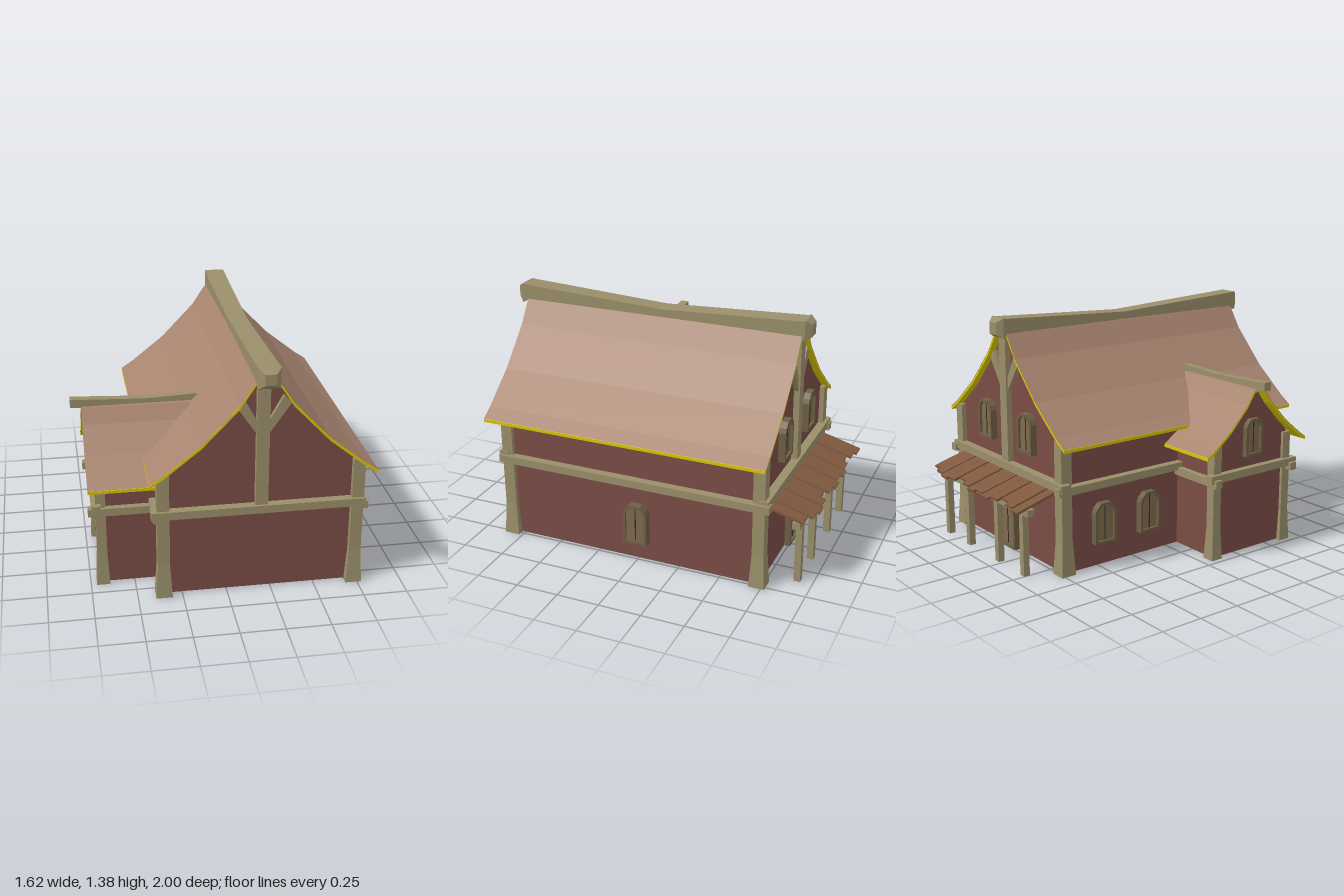
import * as THREE from 'three';

const mat = (color, side = THREE.FrontSide) =>
  new THREE.MeshStandardMaterial({ color, side, flatShading: true });
const M = {
  wall: mat(0x7a4c45, THREE.DoubleSide),
  roof: mat(0xa8846f, THREE.DoubleSide),
  trim: mat(0xd8c800),
  wood: mat(0x9a8f6a),
  frame: mat(0x6e6047),
  shutter: mat(0x7f6a4e),
  dark: mat(0x3a2f24),
  plank: mat(0x80593f),
};

function add(parent, name, geo, material, x = 0, y = 0, z = 0) {
  const mesh = new THREE.Mesh(geo, material);
  mesh.name = name;
  mesh.position.set(x, y, z);
  parent.add(mesh);
  return mesh;
}
const box = (p, name, m, w, h, d, x, y, z) => add(p, name, new THREE.BoxGeometry(w, h, d), m, x, y, z);

const shapeOf = (pts) => new THREE.Shape(pts.map(([x, y]) => new THREE.Vector2(x, y)));

// Extrudes a flat outline from z0 to z1
function slab(p, name, m, pts, z0, z1) {
  const geo = new THREE.ExtrudeGeometry(shapeOf(pts), { depth: z1 - z0, bevelEnabled: false });
  return add(p, name, geo, m, 0, 0, z0);
}

// Corner post that flares towards the ground
function post(p, name, w, base, h, x, z) {
  const geo = new THREE.BoxGeometry(w, h, w, 1, 2, 1).translate(0, h / 2, 0);
  const a = geo.attributes.position;
  for (let i = 0; i < a.count; i++) {
    const y = a.getY(i);
    if (y < 0.01) a.setXYZ(i, a.getX(i) * base / w, 0, a.getZ(i) * base / w);
    else if (y < h - 0.01) a.setY(i, 0.2);
  }
  geo.computeVertexNormals();
  add(p, name, geo, M.wood, x, 0, z);
}

// Square beam lofted through rings of [z, half width, bottom, top], z falling
function ridge(p, rings) {
  const v = [], idx = [];
  rings.forEach(([z, w, b, t], r) => {
    v.push(-w, b, z, w, b, z, w, t, z, -w, t, z);
    if (!r) return;
    for (let k = 0; k < 4; k++) {
      const a = (r - 1) * 4 + k, c = (r - 1) * 4 + (k + 1) % 4;
      idx.push(a, a + 4, c, c, a + 4, c + 4);
    }
  });
  const e = (rings.length - 1) * 4;
  idx.push(0, 1, 2, 0, 2, 3, e, e + 2, e + 1, e, e + 3, e + 2);
  const geo = new THREE.BufferGeometry();
  geo.setAttribute('position', new THREE.Float32BufferAttribute(v, 3));
  geo.setIndex(idx);
  geo.computeVertexNormals();
  add(p, 'ridgeBeam', geo, M.wood);
}

// Curved roof: brown skin from z = front to a back edge per profile point, with trimmed edges
function roof(p, prof, front, backs, trims, eaveBack) {
  for (const s of [-1, 1]) {
    const v = [], idx = [];
    prof.forEach(([x, y], i) => {
      v.push(s * x, y, front, s * x, y, backs[i]);
      if (!i) return;
      const a = i * 2 - 2;
      if (s > 0) idx.push(a, a + 2, a + 1, a + 1, a + 2, a + 3);
      else idx.push(a, a + 1, a + 2, a + 1, a + 3, a + 2);
    });
    const geo = new THREE.BufferGeometry();
    geo.setAttribute('position', new THREE.Float32BufferAttribute(v, 3));
    geo.setIndex(idx);
    geo.computeVertexNormals();
    add(p, 'roofSkin', geo, M.roof);

    const band = (pts) => [
      ...pts.map(([x, y]) => [s * x, y - 0.002]),
      ...pts.map(([x, y]) => [s * x, y - 0.02]).reverse(),
    ];
    for (const [z0, z1] of trims) slab(p, 'gableTrim', M.trim, band(prof), z0, z1);
    slab(p, 'eaveTrim', M.trim, band(prof.slice(-2)), eaveBack, front - 0.001);
  }
}

// Arched frame with two leaves, facing local +z, standing on y
function opening(p, name, w, h, x, y, z, rotY, depth = 0.05) {
  const g = new THREE.Group();
  g.name = name;
  g.position.set(x, y, z);
  g.rotation.y = rotY;
  p.add(g);
  const arch = (hw, b, t) => [[-hw, b], [hw, b], [hw, t - hw * 0.75], [hw * 0.85, t - hw * 0.4],
    [hw * 0.45, t], [-hw * 0.45, t], [-hw * 0.85, t - hw * 0.4], [-hw, t - hw * 0.75]];
  const s = shapeOf(arch(w / 2, 0, h));
  const inner = arch(w / 2 - 0.016, 0.016, h - 0.016);
  s.holes.push(shapeOf(inner));
  add(g, 'frame', new THREE.ExtrudeGeometry(s, { depth, bevelEnabled: false }), M.frame);
  slab(g, 'leaves', M.shutter, inner, 0, depth - 0.015);
  box(g, 'gap', M.dark, 0.006, h - 0.036, 0.004, 0, h / 2, depth - 0.014);
}

export function createModel() {
  const model = new THREE.Group();
  model.name = 'house';
  const profile = [[0, 0.56], [0.06, 0.55], [0.145, 0.42], [0.345, 0.21], [0.545, 0.05], [0.62, 0]];

  // Main house, local x = 0 on the ridge line
  const main = new THREE.Group();
  main.name = 'mainHouse';
  main.position.x = 0.187;
  model.add(main);
  const prof = profile.map(([x, y]) => [x, y + 0.745]);
  roof(main, prof, 0.93, prof.map(() => -0.77), [[0.8, 0.929], [-0.769, -0.71]], -0.769);
  ridge(main, [[1, 0.03, 1.3, 1.36], [0.965, 0.06, 1.27, 1.385], [0.935, 0.06, 1.285, 1.382],
    [0.07, 0.055, 1.285, 1.34], [-0.765, 0.06, 1.285, 1.38], [-0.785, 0.06, 1.27, 1.385], [-0.82, 0.035, 1.29, 1.36]]);

  // Walls, open underneath
  const gable = [[-0.55, 0.005], [0.55, 0.005], [0.545, 0.77], [0.345, 0.935], [0.145, 1.145], [0.05, 1.28],
    [-0.05, 1.28], [-0.145, 1.145], [-0.345, 0.935], [-0.545, 0.77]];
  slab(main, 'frontWall', M.wall, gable, 0.785, 0.815);
  slab(main, 'backWall', M.wall, gable, -0.73, -0.7);
  for (const s of [-1, 1]) {
    box(main, 'sideWall', M.wall, 0.03, 0.765, 1.48, s * 0.535, 0.3875, 0.043);
    box(main, 'sideBeam', M.wood, 0.05, 0.045, 1.65, s * 0.573, 0.497, 0.035);
    post(main, 'cornerPost', 0.068, 0.092, 0.775, s * 0.541, 0.815);
    post(main, 'cornerPost', 0.068, 0.092, 0.775, s * 0.541, -0.725);
  }
  // Gable timbers, front and back
  for (const [z, f] of [[0.815, 1], [-0.73, -1]]) {
    box(main, 'crossBeam', M.wood, 1.19, 0.046, 0.06, -0.012, 0.517, z + f * 0.02);
    box(main, 'gablePost', M.wood, 0.07, 0.77, 0.05, 0, 0.9, z + f * 0.01);
    for (const s of [-1, 1]) {
      slab(main, 'gableBrace', M.wood,
        [[s * 0.03, 0.955], [s * 0.03, 1.03], [s * 0.11, 1.175], [s * 0.15, 1.13]], z + f * 0.01 - 0.015, z + f * 0.01 + 0.015);
    }
  }

  // Windows and door
  opening(model, 'rightWindow', 0.145, 0.24, 0.737, 0.12, 0, Math.PI / 2);
  for (const z of [-0.47, -0.15]) opening(model, 'leftWindow', 0.145, 0.24, -0.363, 0.14, z, -Math.PI / 2, 0.04);
  for (const x of [0.4, -0.03]) opening(model, 'backWindow', 0.145, 0.23, x, 0.635, -0.73, Math.PI, 0.04);
  opening(model, 'backDoor', 0.18, 0.34, 0.2, 0.005, -0.73, Math.PI, 0.035);

  // Side wing, turned so its gable faces -x
  const wing = new THREE.Group();
  wing.name = 'sideWing';
  wing.position.z = 0.362;
  wing.rotation.y = -Math.PI / 2;
  model.add(wing);
  const wProf = profile.map(([x, y]) => [x * 0.62, y * 0.62 + 0.64]);
  roof(wing, wProf, 0.75, [0.11, 0.12, 0.21, 0.39, 0.37, 0.37], [[0.67, 0.749]], 0.37);
  ridge(wing, [[0.81, 0.025, 0.98, 1.03], [0.745, 0.025, 0.975, 1.025], [0.4, 0.022, 0.965, 1.01], [0.1, 0.022, 0.965, 1.022]]);
  slab(wing, 'wingGableWall', M.wall, [[-0.28, 0.005], [0.28, 0.005], [0.28, 0.69], [0.214, 0.75], [0.09, 0.88], [0.03, 0.97],
    [-0.03, 0.97], [-0.09, 0.88], [-0.214, 0.75], [-0.28, 0.69]], 0.665, 0.69);
  for (const s of [-1, 1]) {
    box(wing, 'wingSideWall', M.wall, 0.025, 0.675, 0.31, s * 0.2675, 0.3425, 0.515);
    box(wing, 'wingSideBeam', M.wood, 0.045, 0.045, 0.37, s * 0.295, 0.467, 0.565);
    post(wing, 'wingPost', 0.056, 0.075, 0.675, s * 0.272, 0.68);
  }
  box(wing, 'wingCrossBeam', M.wood, 0.67, 0.046, 0.05, 0, 0.492, 0.705);
  opening(wing, 'wingWindow', 0.13, 0.22, 0, 0.58, 0.69, 0, 0.03);

  // Porch along the back: posts, beam and uneven planks
  const porch = new THREE.Group();
  porch.name = 'porch';
  model.add(porch);
  for (const x of [0.61, 0.36, 0.03, -0.24]) box(porch, 'porchPost', M.wood, 0.038, 0.375, 0.038, x, 0.1925, -0.913);
  box(porch, 'porchBeam', M.wood, 1.02, 0.04, 0.045, 0.19, 0.39, -0.915);
  const ends = [1, 0.985, 0.955, 0.985, 1, 0.985, 1, 0.985, 0.955, 0.99, 1, 0.985, 0.955];
  ends.forEach((end, i) => {
    const len = end - 0.735;
    const plank = box(porch, 'porchPlank', M.plank, 0.072, 0.014, len * 1.04,
      -0.284 + i * 0.079, 0.478 - (len / 2) * 0.28 + (i % 2) * 0.004, -0.735 - len / 2);
    plank.rotation.set(-0.273, 0, ((i % 3) - 1) * 0.04);
  });
  return model;
}
